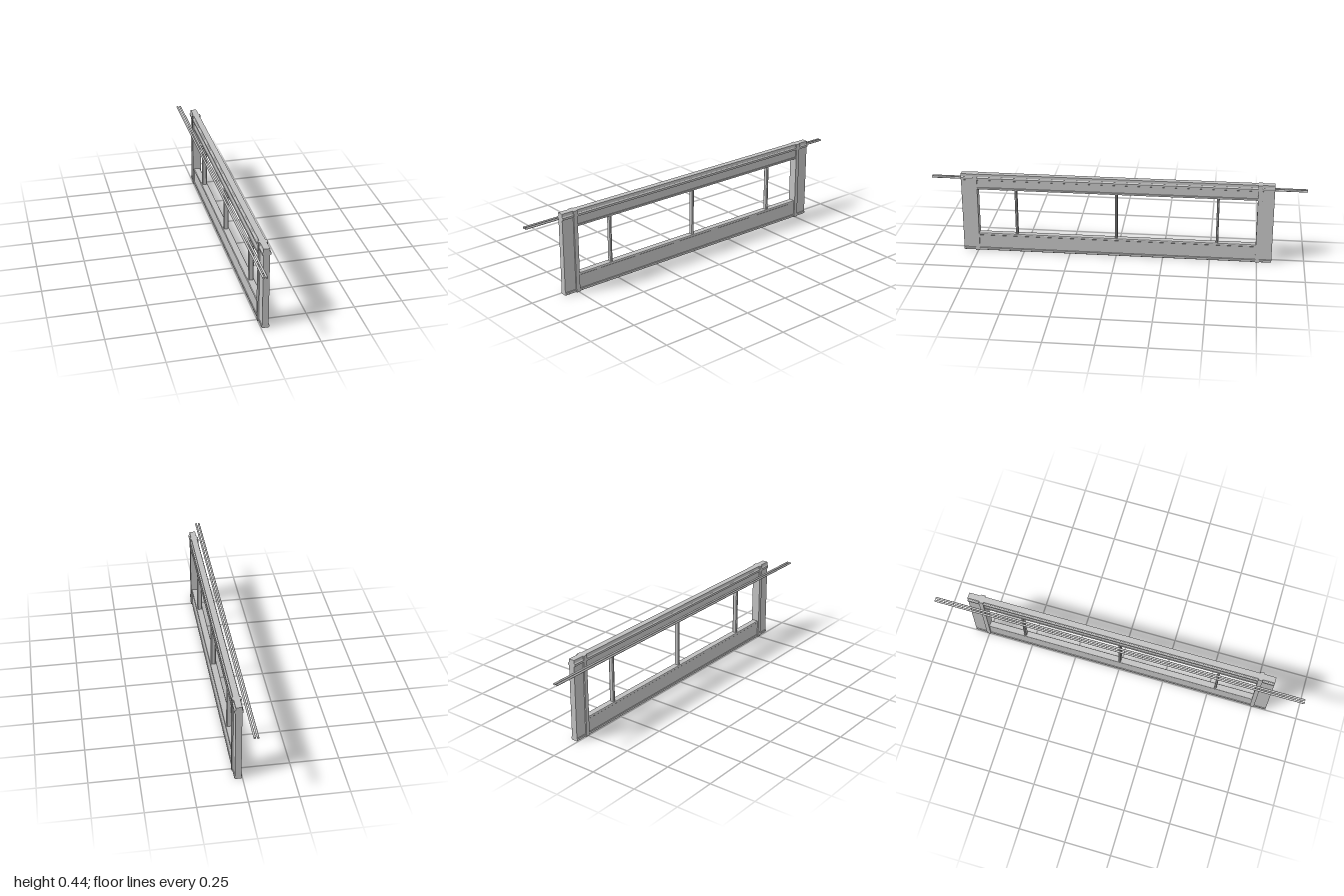
import * as THREE from 'three';

export function createModel() {
  const model = new THREE.Group();
  model.name = 'framedPanelWithRods';
  const grey = new THREE.MeshStandardMaterial({ color: 0xc0c0c0 });
  grey.name = 'light grey';
  const CX = 0.0215; // middle of the frame's thickness

  function add(name, geometry, x, y, z) {
    const mesh = new THREE.Mesh(geometry, grey);
    mesh.name = name;
    mesh.position.set(x, y, z);
    model.add(mesh);
    return mesh;
  }

  // Symmetric section from [half width, height] pairs, swept along z
  function sweep(name, half, z0, z1) {
    const pts = [
      ...half.map(([w, y]) => new THREE.Vector2(w, y)),
      ...half.slice().reverse().map(([w, y]) => new THREE.Vector2(-w, y)),
    ];
    const geometry = new THREE.ExtrudeGeometry(new THREE.Shape(pts), { depth: z1 - z0, bevelEnabled: false });
    add(name, geometry, CX, 0, z0);
  }

  // Mouldings shared by rails and stiles
  const foot = [[0.016, 0], [0.018, 0.004], [0.0195, 0.005], [0.0195, 0.014], [0.016, 0.016]];
  const head = [[0.016, 0.406], [0.022, 0.409], [0.022, 0.42], [0.017, 0.424], [0.016, 0.426], [0.016, 0.441]];

  // Horizontal rails
  sweep('bottomRail', [...foot, [0.016, 0.088], [0.018, 0.09], [0.018, 0.097], [0.016, 0.1]], -0.742, 0.742);
  sweep('topRail', [[0.016, 0.354], [0.018, 0.357], [0.018, 0.364], [0.016, 0.366], ...head], -0.742, 0.742);

  for (const s of [1, -1]) {
    const end = s > 0 ? 'front' : 'back';
    // End stiles, continuing the mouldings to the outer face
    sweep(end + 'Stile', [...foot, ...head], s > 0 ? 0.742 : -0.828, s > 0 ? 0.828 : -0.742);
    // Proud vertical strips on both sides of each stile
    for (const side of [1, -1]) {
      add(end + 'StileStrip', new THREE.BoxGeometry(0.0075, 0.441, 0.022), CX + side * 0.0193, 0.2205, s * 0.753);
    }
  }

  // Upright glazing bars with chamfered corners
  const bar = new THREE.Shape([
    [0.014, -0.003], [0.014, 0.003], [0.009, 0.0065], [-0.009, 0.0065],
    [-0.014, 0.003], [-0.014, -0.003], [-0.009, -0.0065], [0.009, -0.0065],
  ].map(([x, y]) => new THREE.Vector2(x, y)));
  for (const z of [-0.537, 0, 0.537]) {
    const geometry = new THREE.ExtrudeGeometry(bar, { depth: 0.256, bevelEnabled: false });
    geometry.rotateX(-Math.PI / 2);
    add('glazingBar', geometry, CX, 0.099, z);
  }

  // Pair of long round rods beside the frame
  for (const x of [-0.0395, -0.0235]) {
    const geometry = new THREE.CylinderGeometry(0.0055, 0.0055, 2, 24);
    geometry.rotateX(Math.PI / 2);
    add('rod', geometry, x, 0.392, 0);
  }
  return model;
}
